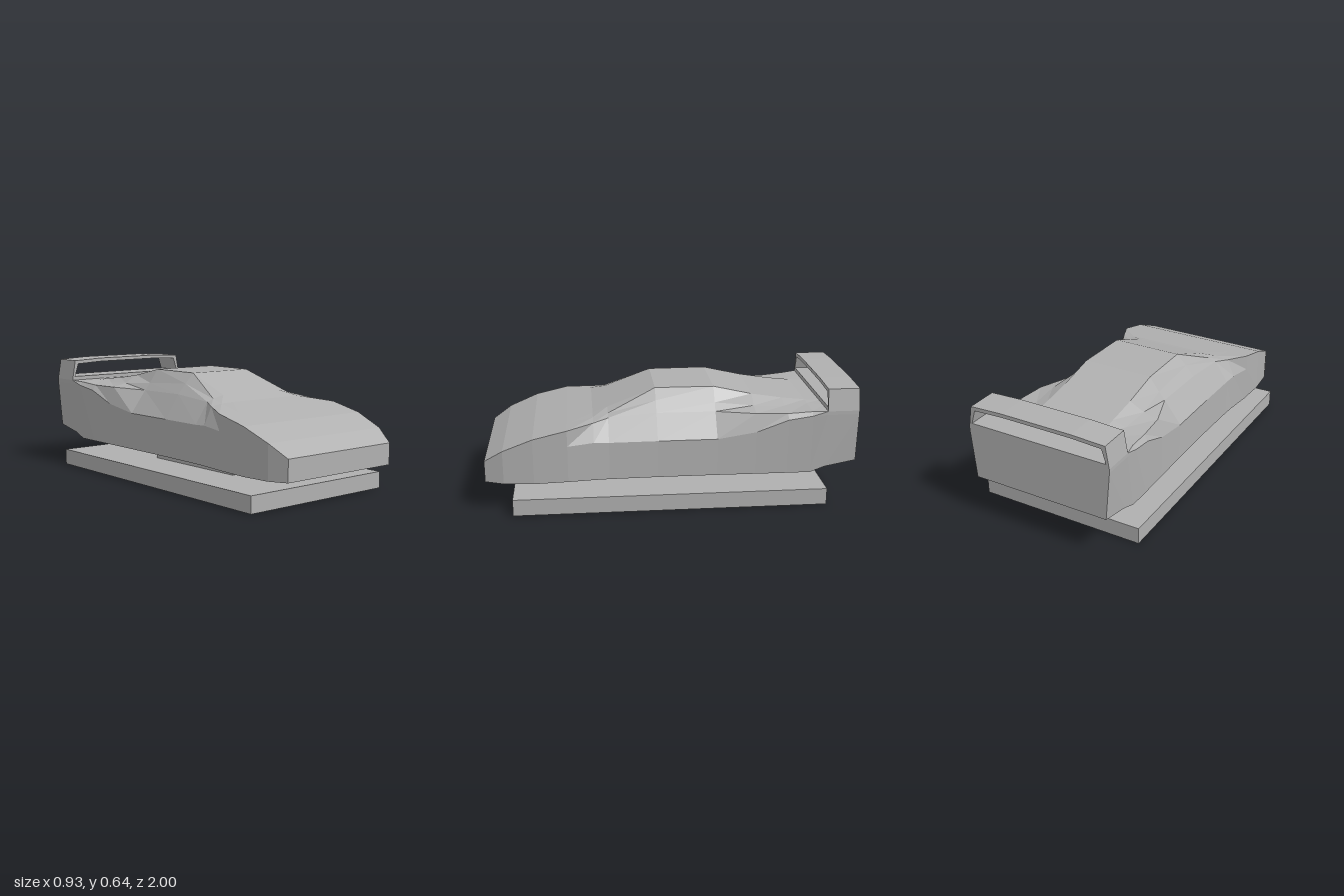
import * as THREE from 'three';

// Half cross-sections run sill, belt, shoulder, valley, roof edge as [x, y]
// Flat-topped section, used for the nose and the tail
const flat = (z, sillX, sillY, beltY, topX, topY) => ({
  z, half: [[sillX, sillY], [topX, beltY], [topX, topY], [0.29, topY], [0.2, topY]],
});
// Cabin section, with sloping sides and a raised roof
const cabin = (z, sillX, belt, shoulder, valley, roof) => ({
  z, half: [[sillX, 0.16], belt, shoulder, valley, roof],
});

const nose = [
  flat(1.0, 0.365, 0.16, 0.22, 0.365, 0.275),
  flat(0.9, 0.4, 0.157, 0.27, 0.4, 0.34),
  flat(0.74, 0.415, 0.157, 0.33, 0.415, 0.405),
  flat(0.56, 0.41, 0.16, 0.36, 0.414, 0.447),
];
const middle = [
  cabin(0.42, 0.395, [0.395, 0.37], [0.35, 0.465], [0.28, 0.475], [0.2, 0.477]),
  cabin(0.34, 0.39, [0.388, 0.365], [0.31, 0.478], [0.27, 0.492], [0.2, 0.507]),
  cabin(0.08, 0.385, [0.385, 0.365], [0.3, 0.495], [0.25, 0.55], [0.195, 0.605]),
  cabin(-0.24, 0.385, [0.385, 0.365], [0.29, 0.49], [0.255, 0.53], [0.2, 0.605]),
  cabin(-0.45, 0.388, [0.392, 0.4], [0.362, 0.495], [0.28, 0.515], [0.2, 0.557]),
  cabin(-0.62, 0.39, [0.4, 0.465], [0.378, 0.495], [0.27, 0.505], [0.2, 0.53]),
  cabin(-0.75, 0.39, [0.405, 0.485], [0.388, 0.505], [0.25, 0.51], [0.2, 0.516]),
];
const tail = [
  flat(-0.83, 0.39, 0.19, 0.49, 0.408, 0.51),
  flat(-1.0, 0.385, 0.22, 0.49, 0.408, 0.51),
];

// Mirror each half section into a closed ring and skin the rings
function loftBody() {
  const rings = [...nose, ...middle, ...tail].map(({ z, half }) => [
    ...half.map(([x, y]) => [x, y, z]),
    ...half.map(([x, y]) => [-x, y, z]).reverse(),
  ]);
  const n = rings[0].length;
  const pos = [];
  const tri = (a, b, c) => pos.push(...a, ...b, ...c);
  for (let i = 0; i < rings.length - 1; i++) {
    for (let j = 0; j < n; j++) {
      const k = (j + 1) % n;
      const a = rings[i][j], b = rings[i][k], c = rings[i + 1][k], d = rings[i + 1][j];
      // keep the diagonals symmetric left and right
      if (j < n / 2) { tri(a, d, c); tri(a, c, b); }
      else { tri(a, d, b); tri(d, c, b); }
    }
  }
  // nose and tail faces
  const front = rings[0], back = rings[rings.length - 1];
  for (let j = 1; j < n - 1; j++) {
    tri(front[0], front[j], front[j + 1]);
    tri(back[0], back[j + 1], back[j]);
  }
  const geo = new THREE.BufferGeometry();
  geo.setAttribute('position', new THREE.Float32BufferAttribute(pos, 3));
  geo.computeVertexNormals();
  return geo;
}

// Rear wing: a faceted hoop with an open slot
function wingGeometry() {
  const mirrored = (half) => [
    ...half.map(([x, y]) => new THREE.Vector2(x, y)),
    ...half.map(([x, y]) => new THREE.Vector2(-x, y)).reverse(),
  ];
  const shape = new THREE.Shape(mirrored([[0.408, 0.51], [0.387, 0.628], [0.2, 0.636]]));
  shape.holes.push(new THREE.Path(mirrored([[0.39, 0.532], [0.366, 0.608], [0.2, 0.616]])));
  return new THREE.ExtrudeGeometry(shape, { depth: 0.17, bevelEnabled: false }).translate(0, 0, -1);
}

export function createModel() {
  const model = new THREE.Group();
  const grey = new THREE.MeshStandardMaterial({ color: 0xb0b0b0 });
  grey.name = 'plain grey';

  const add = (name, geometry) => {
    const mesh = new THREE.Mesh(geometry, grey);
    mesh.name = name;
    model.add(mesh);
  };
  // Box given by half width, height range and depth range
  const block = (hx, y0, y1, z0, z1) =>
    new THREE.BoxGeometry(hx * 2, y1 - y0, z1 - z0).translate(0, (y0 + y1) / 2, (z0 + z1) / 2);

  add('basePlate', block(0.466, 0, 0.09, -0.83, 0.855));
  add('pedestal', block(0.21, 0.09, 0.16, -0.24, 0.43));
  add('carBody', loftBody());
  add('rearWing', wingGeometry());
  return model;
}
